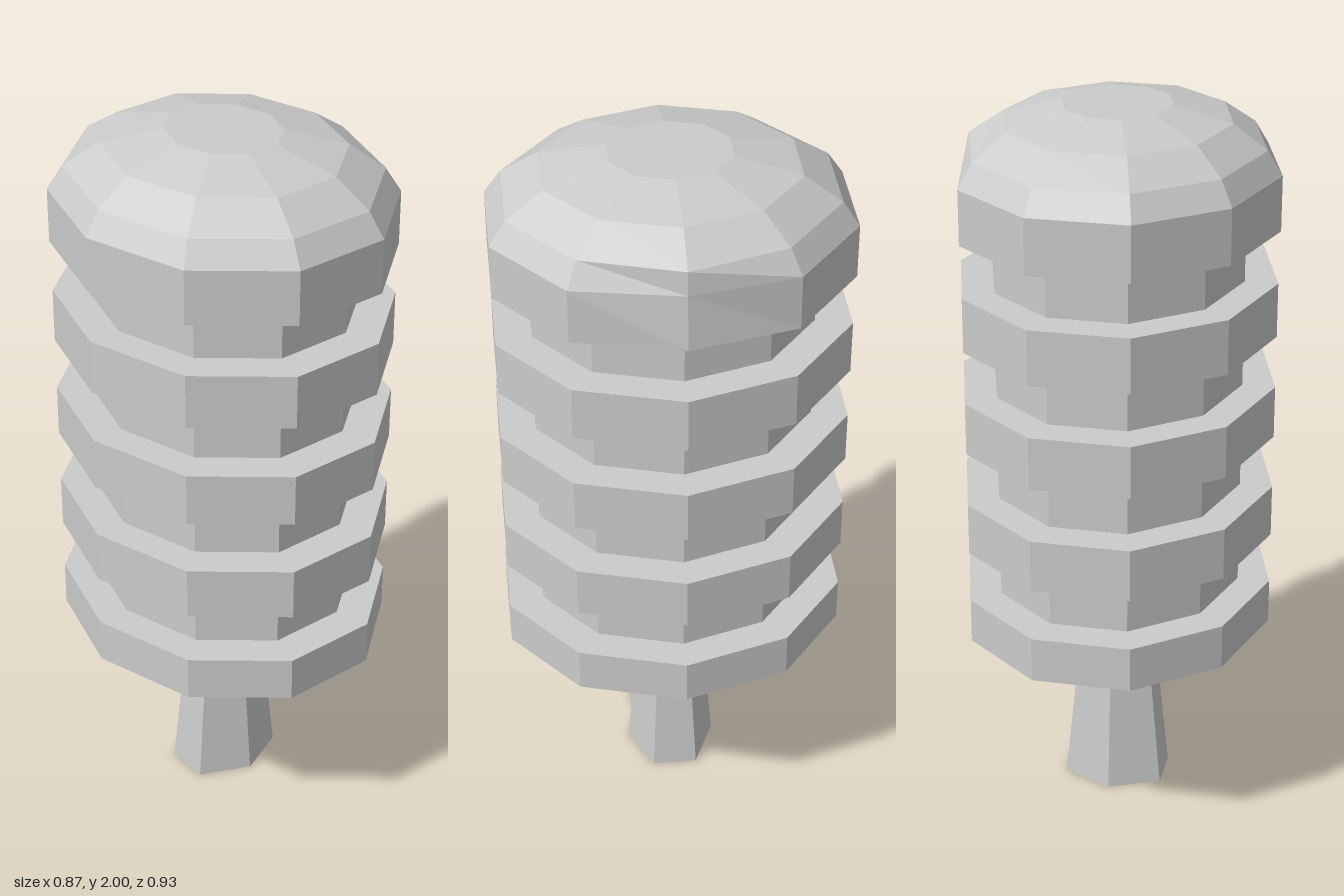
import * as THREE from 'three';

const SIDES = 10;
const DEPTH = 1.125; // the body is slightly deeper than wide
const OUTER = 0.432;
const INNER = 0.343;

const material = new THREE.MeshStandardMaterial({ color: 0xcccccc, flatShading: true });

// Ten-sided oval solid turned from a [radius, y] profile, with a corner on +x
function turned(name, profile) {
  const points = profile.map(([r, y]) => new THREE.Vector2(r, y));
  const geometry = new THREE.LatheGeometry(points, SIDES, Math.PI / 2);
  geometry.scale(1, 1, DEPTH);
  const mesh = new THREE.Mesh(geometry, material);
  mesh.name = name;
  return mesh;
}

export function createModel() {
  const model = new THREE.Group();
  model.name = 'honeyDipper';

  // Tapered six-sided handle
  const handleGeometry = new THREE.CylinderGeometry(0.102, 0.16, 0.54, 6);
  handleGeometry.scale(1, 1, 0.78);
  const handle = new THREE.Mesh(handleGeometry, material);
  handle.name = 'handle';
  handle.position.y = 0.27;
  model.add(handle);

  // Raised rings; the lowest one is closed underneath
  const rings = [[0.53, 0.655], [0.8, 0.945], [1.095, 1.24], [1.385, 1.535]];
  const capBottom = 1.68;
  rings.forEach(([y0, y1], i) => {
    model.add(turned('ring' + (i + 1), [
      [i === 0 ? 0 : INNER, y0], [OUTER, y0], [OUTER, y1], [INNER, y1],
    ]));
    // Recessed core up to the next ring or the cap
    const next = i + 1 < rings.length ? rings[i + 1][0] : capBottom;
    model.add(turned('core' + (i + 1), [[INNER, y1], [INNER, next]]));
  });

  // Domed cap
  const cap = turned('cap', [
    [INNER, capBottom], [0.435, capBottom], [0.435, 1.83],
    [0.395, 1.895], [0.305, 1.96], [0.147, 2], [0, 2],
  ]);
  // The +x corner of the cap rises almost straight to the dome
  const p = cap.geometry.attributes.position;
  for (let i = 0; i < p.count; i++) {
    if (p.getX(i) > 0.38 && Math.abs(p.getZ(i)) < 0.01) {
      p.setX(i, 0.42 - 0.09 * (p.getY(i) - capBottom));
    }
  }
  model.add(cap);

  return model;
}
